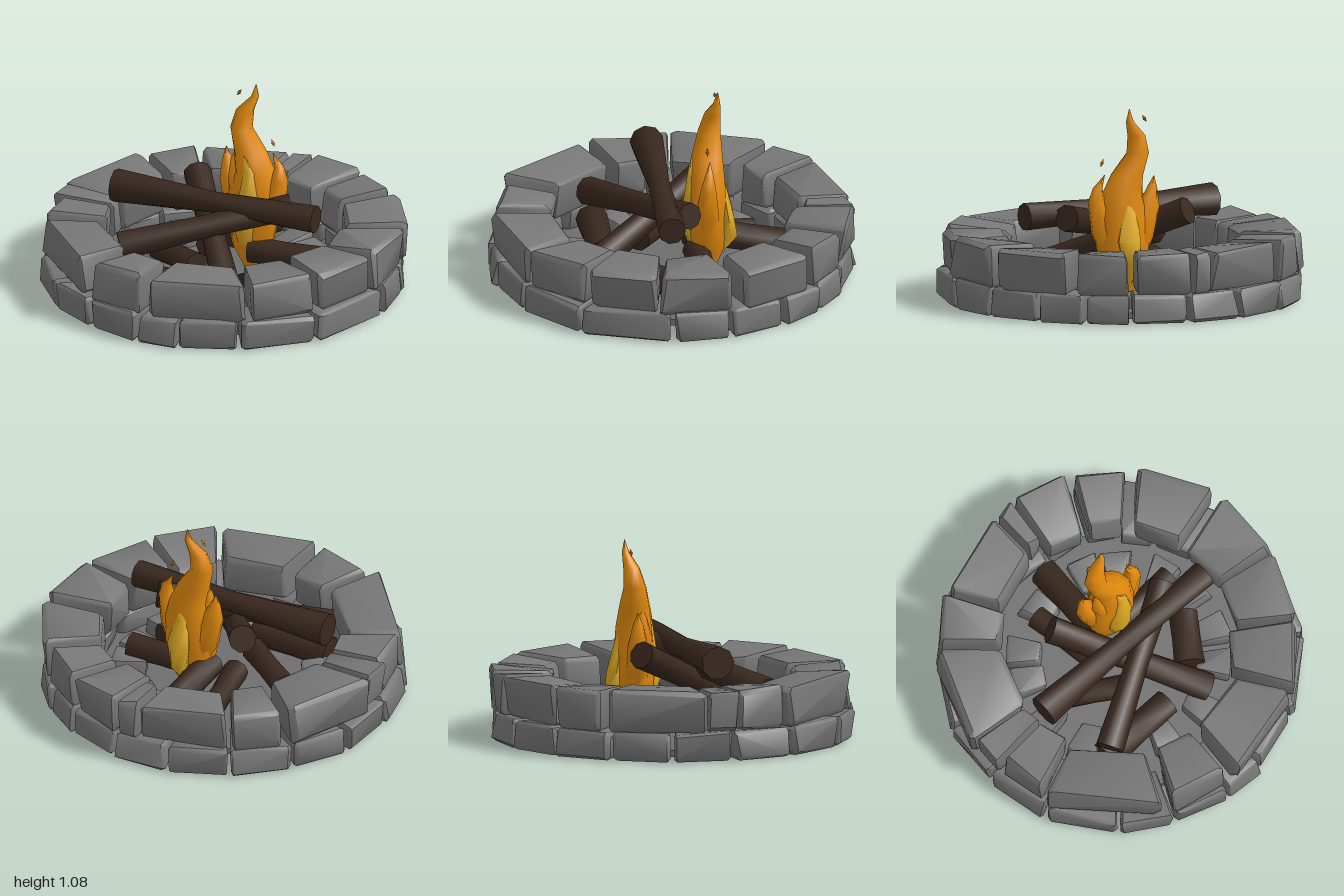
import * as THREE from 'three';
import { toCreasedNormals } from 'three/addons/utils/BufferGeometryUtils.js';
import { ConvexGeometry } from 'three/addons/geometries/ConvexGeometry.js';

const mat = (name, color) => Object.assign(new THREE.MeshStandardMaterial({ color }), { name });

export function createModel() {
  const model = new THREE.Group();
  model.name = 'campfire';
  const stone = mat('stone grey', 0x777777);
  const ash = mat('ash grey', 0x6e6e6e);
  const wood = mat('dark wood', 0x39281e);
  const orange = mat('flame orange', 0xe48b0e);
  const yellow = mat('flame yellow', 0xe0ac24);

  // Small seeded generator, returns -1..1
  let seed = 11;
  const rnd = () => {
    seed = (seed * 16807) % 2147483647;
    return (seed / 2147483647) * 2 - 1;
  };

  const group = (name) => {
    const g = new THREE.Group();
    g.name = name;
    model.add(g);
    return g;
  };
  const add = (parent, name, geometry, material) => {
    const m = new THREE.Mesh(geometry, material);
    m.name = name;
    parent.add(m);
    return m;
  };

  // Chipped wedge between two angles (degrees from +x towards +z), two radii and two heights
  function addStone(parent, a0, a1, r0, r1, y0, y1, rough = 1) {
    const points = [];
    const mid = (a0 + a1) / 2, half = (a1 - a0) / 2;
    for (const sa of [-1, 1]) for (const sr of [-1, 1]) for (const sy of [-1, 1]) {
      const ja = rnd() * 0.04, jr = rnd() * 0.018 * rough, jy = rnd() * 0.012 * rough;
      for (let axis = 0; axis < 3; axis++) {
        // One point per adjoining face, pulled in along the other two axes
        const k = [0.9, 0.87, 0.78].map((v, i) => (i === axis ? 1 : v + rnd() * 0.07));
        const taper = sr < 0 ? 0.93 : 1;
        const slope = sr < 0 && sy > 0 ? -0.015 * rough : 0;
        const a = THREE.MathUtils.degToRad(mid + half * sa * taper * (k[0] + ja));
        const r = (r0 + r1) / 2 + ((r1 - r0) / 2) * sr * k[1] + jr;
        const y = (y0 + y1) / 2 + ((y1 - y0) / 2) * sy * k[2] + (sy > 0 ? jy : 0) + slope;
        points.push(new THREE.Vector3(Math.cos(a) * r, y, Math.sin(a) * r));
      }
    }
    add(parent, 'stone', toCreasedNormals(new ConvexGeometry(points), 0.75), stone);
  }

  // Lower and upper rings of stones
  const lower = group('lowerStoneRing');
  const lowEdges = [3, 33, 59, 79, 93, 112, 130, 154, 175, 195, 215, 236, 256, 275, 294, 309, 325, 344, 363];
  for (let i = 0; i + 1 < lowEdges.length; i++)
    addStone(lower, lowEdges[i] + 0.6, lowEdges[i + 1] - 0.6, 0.69, 0.985, 0.01, 0.17);

  // Each span: start angle, end angle, inner radius, outer radius
  const upper = group('upperStoneRing');
  const upperSpans = [
    [-16, 7, 0.65, 0.98], [8, 31, 0.64, 0.96], [33, 55, 0.61, 0.97], [57, 89, 0.66, 0.97],
    [93, 112, 0.65, 0.955], [116, 154, 0.68, 0.97], [156, 172, 0.64, 0.95], [173, 183, 0.64, 0.96],
    [184, 216, 0.64, 0.98], [219, 235, 0.65, 0.98], [237, 266, 0.69, 0.96], [267, 273, 0.72, 0.98],
    [274, 292, 0.66, 0.985], [295, 311, 0.67, 0.97], [315, 340, 0.66, 0.985],
  ];
  for (const [a0, a1, r0, r1] of upperSpans) addStone(upper, a0, a1, r0, r1, 0.165, 0.388);

  // Ash floor and the small stones lying on it
  const floor = add(model, 'ashFloor', new THREE.CylinderGeometry(0.75, 0.75, 0.035, 24), ash);
  floor.position.y = 0.0225;
  const pebbles = group('innerStones');
  for (const a of [-4, 22, 43, 73, 102, 150, 177, 205, 223, 253, 289, 308, 335])
    addStone(pebbles, a - 8, a + 8, 0.43, 0.61, 0.03, 0.13, 0.8);

  // Logs: end, end, radius at each end, waist radius
  const logs = group('logs');
  function addLog(name, from, to, ra, rb, waist) {
    const a = new THREE.Vector3(...from), b = new THREE.Vector3(...to);
    const g = new THREE.CylinderGeometry(rb, ra, a.distanceTo(b), 9, 2);
    const p = g.attributes.position;
    for (let i = 0; i < p.count; i++) {
      if (Math.abs(p.getY(i)) > 0.001) continue;
      const s = waist / Math.hypot(p.getX(i), p.getZ(i));
      p.setX(i, p.getX(i) * s);
      p.setZ(i, p.getZ(i) * s);
    }
    const m = add(logs, name, toCreasedNormals(g, 0.9), wood);
    m.position.copy(a).lerp(b, 0.5);
    m.quaternion.setFromUnitVectors(new THREE.Vector3(0, 1, 0), b.sub(a).normalize());
  }
  addLog('topLog', [-0.61, 0.49, 0.09], [0.57, 0.485, 0.03], 0.092, 0.076, 0.058);
  addLog('crossLog', [-0.42, 0.29, 0.42], [0.37, 0.48, -0.08], 0.08, 0.074, 0.064);
  addLog('leaningLog', [0.25, 0.14, 0.45], [-0.28, 0.5, -0.25], 0.08, 0.077, 0.066);
  addLog('backLog', [-0.01, 0.13, -0.63], [-0.02, 0.22, -0.16], 0.083, 0.08, 0.075);
  addLog('rightLog', [0.49, 0.16, -0.165], [0.1, 0.16, -0.13], 0.073, 0.075, 0.068);
  addLog('backLeftLog', [-0.21, 0.13, -0.46], [-0.13, 0.16, -0.08], 0.066, 0.07, 0.062);
  addLog('leftLog', [-0.4, 0.12, -0.02], [-0.08, 0.15, 0.17], 0.068, 0.068, 0.062);
  addLog('frontLog', [-0.43, 0.12, 0.4], [0.03, 0.12, 0.37], 0.088, 0.077, 0.078);
  addLog('frontRightLog', [0.26, 0.12, 0.28], [0.42, 0.12, 0.03], 0.085, 0.08, 0.078);

  // Flames: skin over sections [x, y, z, half width, half depth], listed from the tip down
  const fire = group('fire');
  function addFlame(name, sections, material, sides = 9) {
    const g = new THREE.CylinderGeometry(1, 1, 1, sides, sections.length - 1, true);
    const p = g.attributes.position;
    for (let i = 0; i < p.count; i++) {
      const [x, y, z, rx, rz] = sections[Math.floor(i / (sides + 1))];
      p.setXYZ(i, x + p.getX(i) * rx, y, z + p.getZ(i) * rz);
    }
    return add(fire, name, toCreasedNormals(g, 1.2), material);
  }
  addFlame('mainFlame', [
    [0.075, 1.08, -0.25, 0.002, 0.002], [0.07, 1.01, -0.245, 0.022, 0.02],
    [0.02, 0.93, -0.225, 0.05, 0.045], [0.005, 0.83, -0.21, 0.062, 0.062],
    [0.065, 0.71, -0.195, 0.092, 0.085], [0.095, 0.6, -0.19, 0.115, 0.1],
    [0.09, 0.48, -0.19, 0.15, 0.108], [0.085, 0.33, -0.19, 0.155, 0.105],
    [0.08, 0.17, -0.19, 0.12, 0.095], [0.08, 0.03, -0.19, 0.04, 0.04],
  ], orange);
  addFlame('leftTongue', [
    [-0.09, 0.7, -0.22, 0.002, 0.002], [-0.08, 0.63, -0.215, 0.03, 0.03],
    [-0.06, 0.53, -0.21, 0.065, 0.05], [0, 0.36, -0.2, 0.09, 0.07], [0.05, 0.15, -0.2, 0.03, 0.03],
  ], orange, 7);
  addFlame('innerLeftTongue', [
    [-0.005, 0.73, -0.18, 0.002, 0.002], [-0.015, 0.66, -0.175, 0.025, 0.025],
    [0, 0.55, -0.165, 0.05, 0.05], [0.05, 0.35, -0.17, 0.06, 0.06], [0.07, 0.15, -0.19, 0.02, 0.02],
  ], orange, 7);
  addFlame('rightTongue', [
    [0.2, 0.72, -0.2, 0.002, 0.002], [0.24, 0.65, -0.195, 0.026, 0.026],
    [0.245, 0.57, -0.19, 0.048, 0.045], [0.19, 0.4, -0.19, 0.085, 0.065], [0.12, 0.15, -0.19, 0.03, 0.03],
  ], orange, 7);
  addFlame('frontYellowTongue', [
    [0.07, 0.71, -0.11, 0.002, 0.002], [0.1, 0.62, -0.11, 0.035, 0.025],
    [0.1, 0.48, -0.1, 0.06, 0.035], [0.07, 0.34, -0.085, 0.065, 0.045],
    [0.08, 0.2, -0.12, 0.05, 0.035], [0.08, 0.12, -0.16, 0.01, 0.01],
  ], yellow, 7);
  addFlame('backYellowTongue', [
    [0.11, 0.6, -0.27, 0.002, 0.002], [0.09, 0.52, -0.275, 0.04, 0.025],
    [0.1, 0.36, -0.295, 0.07, 0.045], [0.09, 0.24, -0.31, 0.05, 0.05], [0.08, 0.1, -0.24, 0.01, 0.01],
  ], yellow, 7);

  // Embers drifting above the fire
  for (const [x, y, z, tilt] of [[-0.022, 1.02, -0.24, -0.6], [0.208, 0.785, -0.185, 0.4]]) {
    const ember = add(fire, 'ember', new THREE.OctahedronGeometry(0.012), orange);
    ember.position.set(x, y, z);
    ember.scale.set(0.9, 2, 0.9);
    ember.rotation.z = tilt;
  }
  return model;
}
